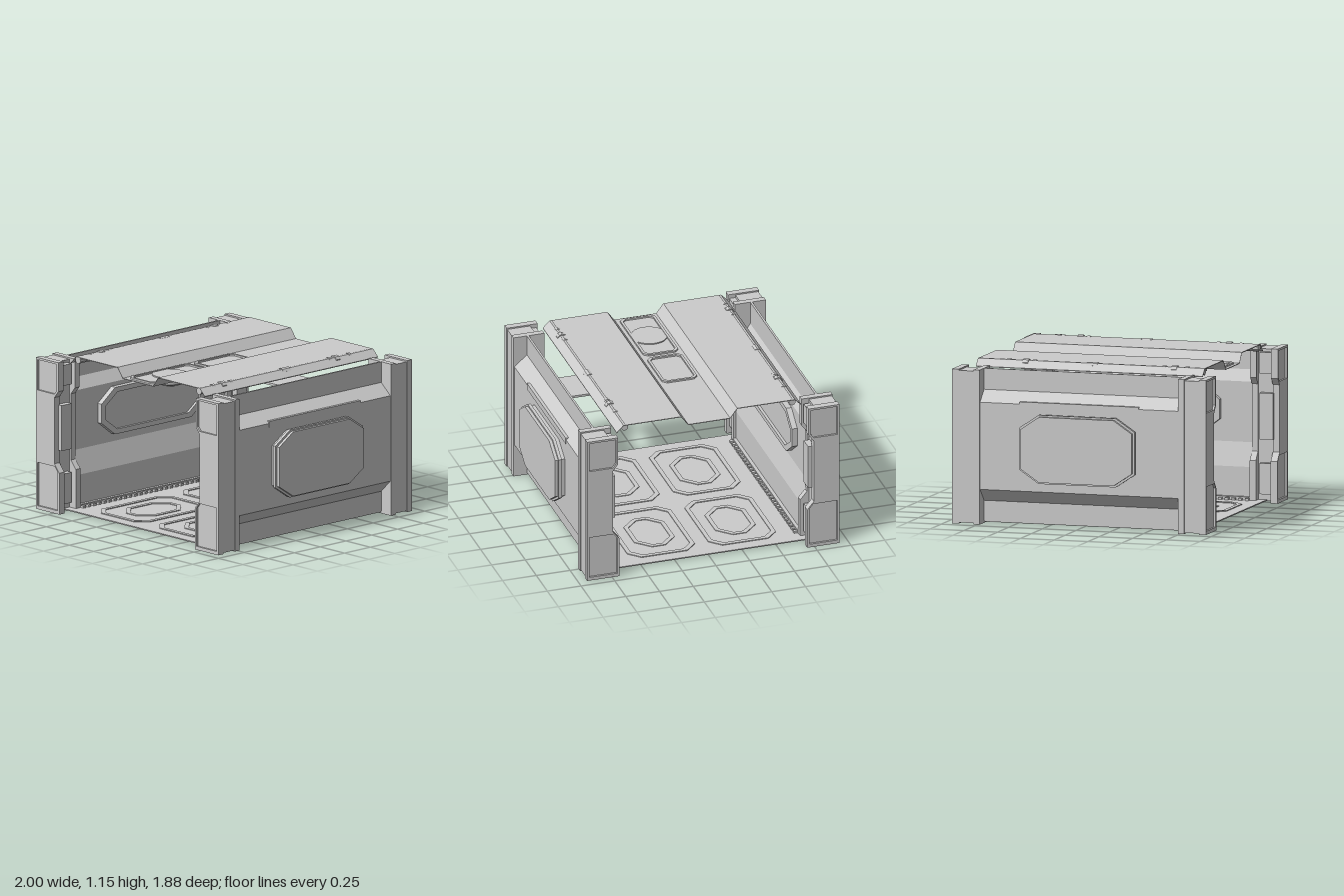
import * as THREE from 'three';

const mat = new THREE.MeshStandardMaterial({ color: 0xcccccc, flatShading: true, side: THREE.DoubleSide });

function add(parent, name, geo, x = 0, y = 0, z = 0) {
  const m = new THREE.Mesh(geo, mat);
  m.name = name;
  m.position.set(x, y, z);
  parent.add(m);
  return m;
}

// box given by its limits on each axis
function block(parent, name, x0, x1, y0, y1, z0, z1) {
  return add(parent, name, new THREE.BoxGeometry(Math.abs(x1 - x0), Math.abs(y1 - y0), Math.abs(z1 - z0)),
    (x0 + x1) / 2, (y0 + y1) / 2, (z0 + z1) / 2);
}

const pts = (list, sx = 1) => list.map(([x, y]) => new THREE.Vector2(x * sx, y));

// outline in x,y (with holes) extruded between two z values
function slab(parent, name, outline, holes, sx, z0, z1) {
  const shape = new THREE.Shape(pts(outline, sx));
  for (const h of holes) shape.holes.push(new THREE.Path(pts(h, sx)));
  const geo = new THREE.ExtrudeGeometry(shape, { depth: Math.abs(z1 - z0), bevelEnabled: false });
  return add(parent, name, geo, 0, 0, Math.min(z0, z1));
}

// rectangle with cut corners, centred on the origin
const octagon = (w, h, cx, cy) => [
  [w - cx, -h], [w, cy - h], [w, h - cy], [w - cx, h],
  [cx - w, h], [-w, h - cy], [-w, cy - h], [cx - w, -h]];

// cut-corner plate or frame facing along x
function sidePlate(parent, name, outline, hole, sx, x0, x1, y) {
  const shape = new THREE.Shape(pts(outline));
  if (hole) shape.holes.push(new THREE.Path(pts(hole)));
  const geo = new THREE.ExtrudeGeometry(shape, { depth: x1 - x0, bevelEnabled: false });
  geo.rotateY(Math.PI / 2);
  return add(parent, name, geo, sx > 0 ? x0 : -x1, y, 0);
}

// cut-corner plate or frame lying flat
function flatPlate(parent, name, outline, hole, x, y, z, thickness) {
  const shape = new THREE.Shape(pts(outline));
  if (hole) shape.holes.push(new THREE.Path(pts(hole)));
  const geo = new THREE.ExtrudeGeometry(shape, { depth: thickness, bevelEnabled: false });
  geo.rotateX(-Math.PI / 2);
  return add(parent, name, geo, x, y, z);
}

function column(sx, sz) {
  const g = new THREE.Group();
  g.name = 'cornerColumn';
  const profile = [[0.935, 0], [0.935, 1.1], [0.705, 1.1], [0.705, 0.89], [0.745, 0.84],
    [0.745, 0.36], [0.695, 0.3], [0.695, 0]];
  const lower = [[0.918, 0.025], [0.918, 0.34], [0.74, 0.34], [0.712, 0.305], [0.712, 0.025]];
  const upper = [[0.918, 0.865], [0.918, 1.085], [0.722, 1.085], [0.722, 0.895], [0.745, 0.865]];
  slab(g, 'columnFace', profile, [lower, upper], sx, sz * 0.925, sz * 0.94);
  slab(g, 'columnFacePlate', profile, [], sx, sz * 0.89, sz * 0.925);
  slab(g, 'columnInnerSlab', profile, [], sx, sz * 0.735, sz * 0.78);
  block(g, 'columnCore', sx * 0.76, sx * 0.93, 0.008, 1.09, sz * 0.78, sz * 0.89);
  // clamps bridging the slot on the inner side
  for (const [y0, y1] of [[0.06, 0.28], [0.45, 0.78], [0.92, 1.07]])
    block(g, 'columnClamp', sx * 0.715, sx * 0.77, y0, y1, sz * 0.8, sz * 0.9);
  return g;
}

function wall(sx) {
  const g = new THREE.Group();
  g.name = 'sideWall';
  const profile = [[0.835, 0.015], [0.835, 0.16], [0.928, 0.25], [0.928, 0.87], [0.835, 0.95], [0.835, 1.1],
    [0.82, 1.1], [0.82, 0.93], [0.765, 0.85], [0.765, 0.42], [0.715, 0.25], [0.715, 0.015]];
  slab(g, 'wallShell', profile, [], sx, -0.75, 0.75);
  block(g, 'wallTopTab', sx * 0.9, sx * 0.932, 0.84, 0.886, -0.44, 0.44);
  // stepped outer hatch
  sidePlate(g, 'hatchBase', octagon(0.41, 0.235, 0.135, 0.09), null, sx, 0.925, 0.955, 0.56);
  sidePlate(g, 'hatchRim', octagon(0.425, 0.245, 0.14, 0.093), null, sx, 0.955, 0.978, 0.56);
  sidePlate(g, 'hatchCover', octagon(0.41, 0.233, 0.135, 0.09), null, sx, 0.978, 1, 0.56);
  // framed inner panel
  sidePlate(g, 'innerPanelFrame', octagon(0.5, 0.17, 0.13, 0.1), octagon(0.46, 0.135, 0.115, 0.085),
    sx, 0.725, 0.77, 0.65);
  sidePlate(g, 'innerPanel', octagon(0.47, 0.145, 0.12, 0.09), null, sx, 0.745, 0.77, 0.65);
  // toothed strip along the floor
  block(g, 'stripRail', sx * 0.69, sx * 0.72, 0.015, 0.04, -0.735, 0.735);
  for (let i = 0; i < 30; i++) {
    const z = -0.72 + i * 0.0497;
    block(g, 'stripTooth', sx * 0.665, sx * 0.69, 0.015, 0.032, z - 0.013, z + 0.013);
  }
  return g;
}

function pipe(sx) {
  const g = new THREE.Group();
  g.name = 'ceilingPipe';
  const ring = (name, r, z, len) =>
    add(g, name, new THREE.CylinderGeometry(r, r, len, 10).rotateX(Math.PI / 2), sx * 0.62, 1.115, z);
  ring('pipeBody', 0.026, 0, 1.66);
  for (const z of [-0.62, -0.43, 0.53, 0.7]) ring('pipeBand', 0.031, z, 0.025);
  for (const z of [-0.49, 0.61]) ring('pipeCollar', 0.036, z, 0.04);
  ring('pipeSleeve', 0.032, 0, 0.08);
  return g;
}

function floor() {
  const g = new THREE.Group();
  g.name = 'floor';
  block(g, 'floorSheet', -0.83, 0.83, 0.008, 0.016, -0.84, 0.84);
  for (const x of [-0.3, 0.3]) for (const z of [-0.4, 0.4]) {
    flatPlate(g, 'floorUnderPlate', octagon(0.25, 0.35, 0.08, 0.08), null, x, 0, z, 0.01);
    flatPlate(g, 'floorFrame', octagon(0.25, 0.35, 0.08, 0.08), octagon(0.22, 0.32, 0.07, 0.07), x, 0.015, z, 0.007);
    flatPlate(g, 'floorTread', octagon(0.15, 0.22, 0.1, 0.1), octagon(0.12, 0.19, 0.085, 0.085), x, 0.015, z, 0.006);
  }
  return g;
}

function ceiling() {
  const g = new THREE.Group();
  g.name = 'ceiling';
  // folded sheet with a centre channel
  const half = [[0.155, 1.07], [0.208, 1.14], [0.635, 1.14], [0.685, 1.09]];
  const top = [...half.map(([x, y]) => [-x, y]).reverse(), ...half];
  const under = top.map(([x, y]) => [x, y - 0.005]).reverse();
  slab(g, 'ceilingSheet', [...top, ...under], [], 1, -0.845, 0.835);
  // frames in the channel
  const frame = (name, h, z) =>
    flatPlate(g, name, octagon(0.13, h, 0.03, 0.03), octagon(0.112, h - 0.018, 0.025, 0.025), 0, 1.065, z, 0.017);
  frame('squareFrame', 0.195, -0.005);
  frame('longFrame', 0.29, 0.52);
  // round lamp below the channel
  const lamp = pts([[0, 0.988], [0.03, 0.988], [0.036, 1], [0.036, 1.015], [0.105, 1.015], [0.118, 1.025],
    [0.122, 1.045], [0.13, 1.05], [0.13, 1.078], [0, 1.078]]);
  add(g, 'lamp', new THREE.LatheGeometry(lamp, 32), 0, 0, 0.52);
  // tapered bracket from the channel to one wall
  slab(g, 'wallBracket', [[0.12, 1.03], [0.3, 1.04], [0.825, 1.042], [0.825, 1.058], [0.3, 1.055], [0.12, 1.045]],
    [], 1, -0.16, 0.14);
  return g;
}

export function createModel() {
  const model = new THREE.Group();
  model.name = 'corridorModule';
  model.add(floor(), ceiling());
  for (const sx of [-1, 1]) {
    model.add(wall(sx), pipe(sx));
    for (const sz of [-1, 1]) model.add(column(sx, sz));
  }
  return model;
}
